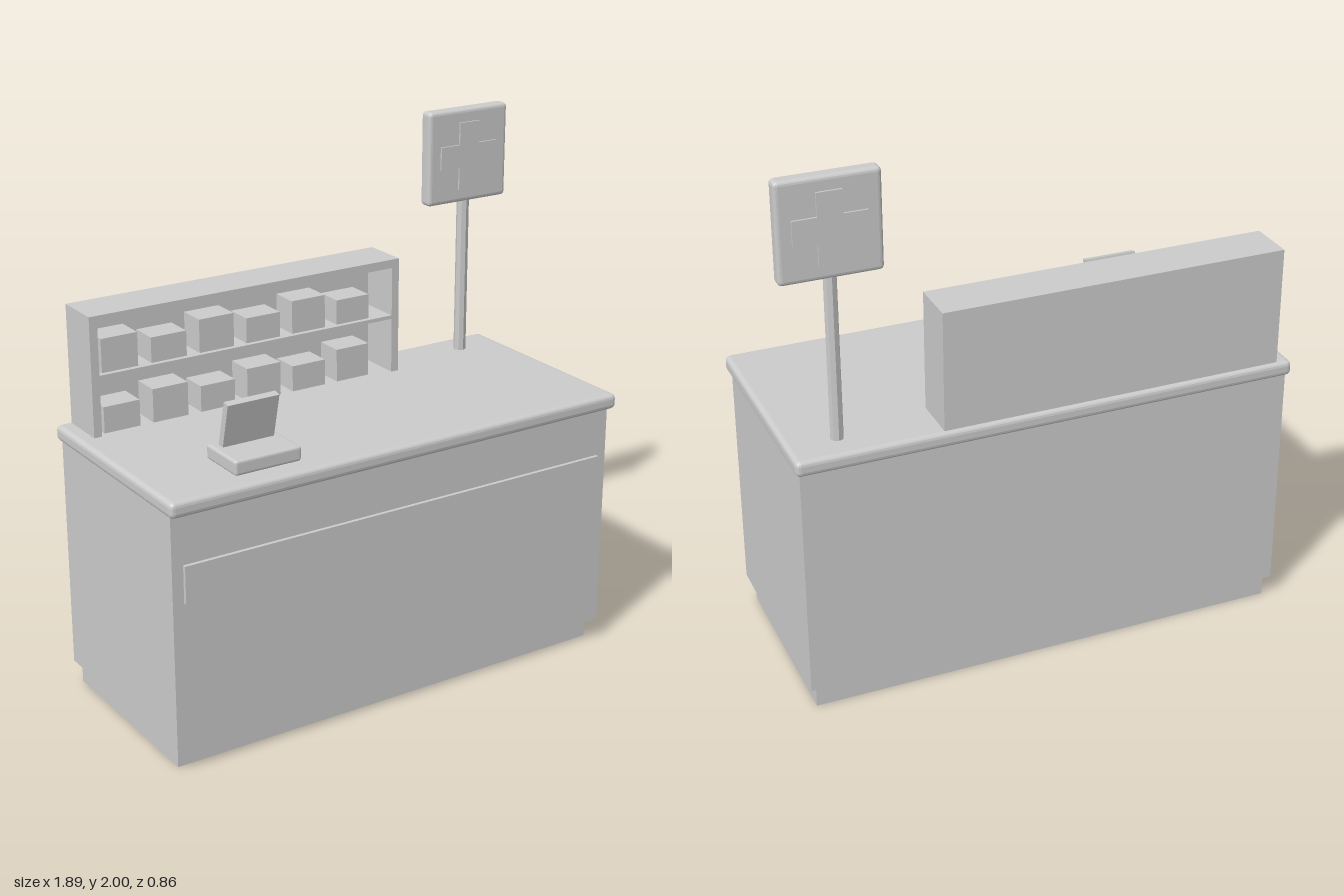
import * as THREE from 'three';
import { RoundedBoxGeometry } from 'three/addons/geometries/RoundedBoxGeometry.js';

const grey = new THREE.MeshStandardMaterial({ color: 0xcccccc });
const faceted = new THREE.MeshStandardMaterial({ color: 0xcccccc, flatShading: true });

function add(parent, name, geometry, x, y, z, material = grey) {
  const mesh = new THREE.Mesh(geometry, material);
  mesh.name = name;
  mesh.position.set(x, y, z);
  parent.add(mesh);
  return mesh;
}

// Box given by its lower and upper limits on each axis
function box(parent, name, [x0, x1], [y0, y1], [z0, z1], bevel = 0) {
  const w = x1 - x0, h = y1 - y0, d = z1 - z0;
  const geometry = bevel
    ? new RoundedBoxGeometry(w, h, d, 2, bevel)
    : new THREE.BoxGeometry(w, h, d);
  return add(parent, name, geometry, (x0 + x1) / 2, (y0 + y1) / 2, (z0 + z1) / 2,
    bevel ? faceted : grey);
}

function group(parent, name) {
  const g = new THREE.Group();
  g.name = name;
  parent.add(g);
  return g;
}

export function createModel() {
  const model = new THREE.Group();
  model.name = 'shopCounter';

  // Counter
  const counter = group(model, 'counter');
  box(counter, 'plinth', [-0.907, 0.907], [0, 0.085], [-0.39, 0.35]);
  box(counter, 'cabinet', [-0.93, 0.93], [0.085, 0.98], [-0.41, 0.394]);
  box(counter, 'frontPanel', [-0.887, 0.887], [0.645, 0.785], [0.385, 0.408]);
  box(counter, 'worktop', [-0.945, 0.945], [0.972, 1.03], [-0.43, 0.43], 0.018);

  // Shelf unit, open towards the front
  const shelves = group(model, 'shelfUnit');
  const depth = [-0.414, -0.233];
  box(shelves, 'shelfSide', [-0.888, -0.857], [1.03, 1.478], depth);
  box(shelves, 'shelfSide', [0.379, 0.41], [1.03, 1.478], depth);
  box(shelves, 'shelfTop', [-0.857, 0.379], [1.445, 1.478], depth);
  box(shelves, 'shelfBack', [-0.857, 0.379], [1.03, 1.445], [-0.414, -0.394]);
  box(shelves, 'shelfBoard', [-0.857, 0.379], [1.243, 1.257], [-0.394, -0.235]);

  // Goods: alternating heights on both rows
  const rows = [
    { y: 1.03, heights: [0.099, 0.127] },
    { y: 1.257, heights: [0.126, 0.095] },
  ];
  for (const { y, heights } of rows) {
    for (let i = 0; i < 6; i++) {
      const x = -0.836 + i * 0.196;
      box(shelves, 'goodsBox', [x, x + 0.143], [y, y + heights[i % 2]], [-0.365, -0.255]);
    }
  }

  // Till with a display tilted towards the front and a screen on the staff side
  const till = group(model, 'till');
  box(till, 'tillBase', [-0.65, -0.387], [1.03, 1.085], [0.145, 0.343], 0.01);
  const display = group(till, 'tillDisplay');
  display.position.set(-0.518, 1.168, 0.214);
  display.rotation.x = 0.24;
  box(display, 'displayCase', [-0.102, 0.102], [-0.086, 0.086], [-0.014, 0.014]);
  box(display, 'displayScreen', [-0.084, 0.084], [-0.065, 0.065], [-0.019, -0.01]);

  // Sign on a post, with a raised cross on both faces
  const sign = group(model, 'sign');
  const sx = 0.762, sy = 1.819, sz = -0.312;
  add(sign, 'signPost', new THREE.CylinderGeometry(0.024, 0.024, 0.62, 8), sx, 1.335, sz, faceted);
  box(sign, 'signBoard', [0.58, 0.944], [1.638, 2], [-0.341, -0.283], 0.015);

  const a = 0.13, b = 0.045;
  const cross = new THREE.Shape([
    [-b, -a], [b, -a], [b, -b], [a, -b], [a, b], [b, b],
    [b, a], [-b, a], [-b, b], [-a, b], [-a, -b], [-b, -b],
  ].map(([x, y]) => new THREE.Vector2(x, y)));
  const thickness = 0.072;
  const crossGeometry = new THREE.ExtrudeGeometry(cross, { depth: thickness, bevelEnabled: false });
  crossGeometry.translate(0, 0, -thickness / 2);
  add(sign, 'signCross', crossGeometry, sx, sy, sz);

  return model;
}
